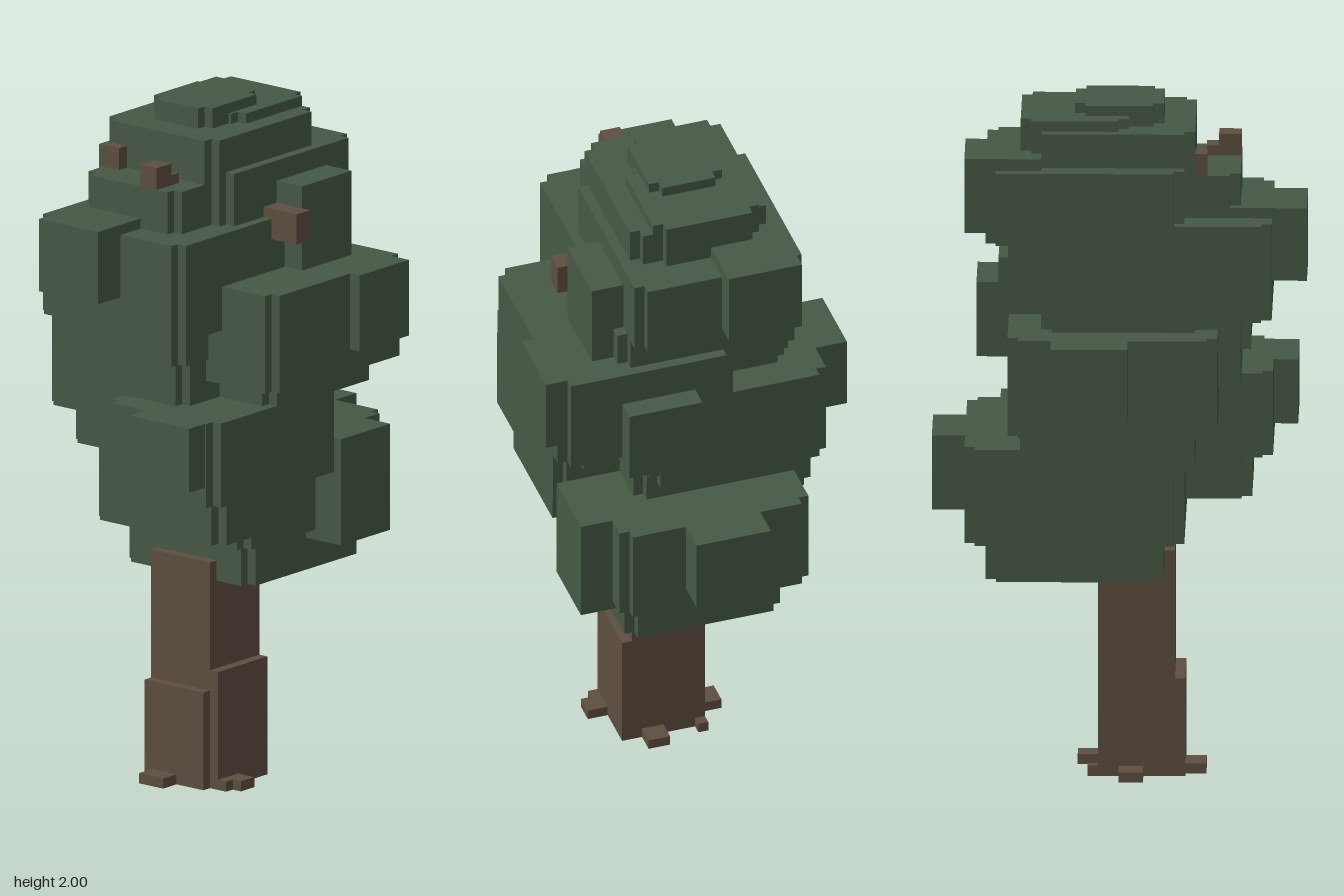
import * as THREE from 'three';

const NOTCH = 0.03;

export function createModel() {
  const leaf = new THREE.MeshStandardMaterial({ color: 0x465945 });
  leaf.name = 'leafGreen';
  const bark = new THREE.MeshStandardMaterial({ color: 0x5e4e41 });
  bark.name = 'barkBrown';

  const tree = new THREE.Group();
  tree.name = 'blockTree';

  // Plain block from its limits: x, y, z
  function block(name, material, [x0, x1, y0, y1, z0, z1], parent) {
    const mesh = new THREE.Mesh(new THREE.BoxGeometry(x1 - x0, y1 - y0, z1 - z0), material);
    mesh.position.set((x0 + x1) / 2, (y0 + y1) / 2, (z0 + z1) / 2);
    mesh.name = name;
    parent.add(mesh);
  }

  // Foliage slab whose upright corners are cut in one small step
  function notchedSlab(name, [x0, x1, y0, y1, z0, z1], parent) {
    const w = (x1 - x0) / 2, d = (z1 - z0) / 2, n = NOTCH;
    const points = [
      [w, d - n], [w - n, d - n], [w - n, d], [n - w, d], [n - w, d - n], [-w, d - n],
      [-w, n - d], [n - w, n - d], [n - w, -d], [w - n, -d], [w - n, n - d], [w, n - d],
    ].map(([x, y]) => new THREE.Vector2(x, y));
    const geometry = new THREE.ExtrudeGeometry(new THREE.Shape(points), { depth: y1 - y0, bevelEnabled: false });
    geometry.rotateX(-Math.PI / 2);
    const mesh = new THREE.Mesh(geometry, leaf);
    mesh.position.set((x0 + x1) / 2, y0, (z0 + z1) / 2);
    mesh.name = name;
    parent.add(mesh);
  }

  function group(name) {
    const g = new THREE.Group();
    g.name = name;
    tree.add(g);
    return g;
  }

  // Trunk with thicker lower sides
  const trunk = group('trunk');
  block('trunkCore', bark, [-0.16, 0.06, 0, 0.67, -0.09, 0.13], trunk);
  block('trunkFrontStep', bark, [-0.16, 0.06, 0, 0.35, 0.13, 0.16], trunk);
  block('trunkSideStep', bark, [-0.19, -0.16, 0, 0.29, -0.09, 0.13], trunk);

  // Roots
  const roots = group('roots');
  [
    [-0.16, -0.07, 0, 0.03, 0.16, 0.19],
    [-0.13, -0.07, 0, 0.03, 0.19, 0.22],
    [0.06, 0.12, 0, 0.03, 0.035, 0.1],
    [-0.25, -0.19, 0, 0.03, -0.06, 0.03],
    [-0.07, 0, 0, 0.03, -0.16, -0.09],
    [0.06, 0.09, 0, 0.03, -0.09, -0.06],
  ].forEach((b) => block('root', bark, b, roots));

  // Main foliage masses, from bottom to top
  const foliage = group('foliage');
  [
    [-0.13, 0.38, 0.61, 0.75, -0.22, 0.25],
    [-0.19, 0.44, 0.735, 1.02, -0.285, 0.285],
    [-0.38, 0.03, 0.8, 0.93, 0, 0.35],
    [-0.44, 0.125, 0.93, 1.18, -0.03, 0.38],
    [-0.22, 0.28, 0.96, 1.12, -0.345, 0.19],
    [-0.285, 0.315, 1.08, 1.37, -0.38, 0.16],
    [-0.35, 0.1, 1.18, 1.4, -0.19, 0.19],
    [-0.19, 0.28, 1.17, 1.26, -0.1, 0.38],
    [-0.25, 0.345, 1.24, 1.53, -0.09, 0.44],
    [-0.38, 0.1, 1.305, 1.42, -0.25, 0.2],
    [-0.25, 0.22, 1.36, 1.5, -0.285, 0],
    [-0.44, 0.125, 1.4, 1.685, -0.285, 0.25],
    [-0.16, 0.315, 1.49, 1.63, -0.285, 0.25],
    [-0.35, 0.2, 1.68, 1.81, -0.19, 0.16],
    [-0.19, 0.38, 1.625, 1.84, -0.285, 0.22],
    [-0.22, 0.25, 1.8, 1.94, -0.22, 0.19],
    [-0.03, 0.28, 1.84, 1.97, -0.19, 0.13],
    [-0.13, 0.125, 1.94, 2, -0.13, 0.09],
  ].forEach((b) => notchedSlab('foliageLayer', b, foliage));

  // Square tufts standing out from the masses
  const tufts = group('tufts');
  [
    [0.3, 0.535, 0.8, 1.02, -0.13, 0.095],
    [0.125, 0.345, 0.705, 1.02, 0.16, 0.38],
    [-0.51, -0.3, 0.99, 1.18, 0.125, 0.345],
    [-0.03, 0.19, 1.15, 1.37, -0.475, -0.25],
    [0.2, 0.41, 1.21, 1.43, 0.035, 0.255],
    [0.095, 0.315, 1.305, 1.53, 0.25, 0.475],
    [-0.54, -0.32, 1.5, 1.715, -0.19, 0.03],
    [0.03, 0.25, 1.5, 1.78, 0.1, 0.315],
    [0.22, 0.44, 1.655, 1.875, -0.255, -0.035],
  ].forEach((b) => block('tuft', leaf, b, tufts));

  // Twig ends
  const twigs = group('twigs');
  [
    [-0.35, -0.285, 1.8, 1.875, 0.03, 0.09],
    [-0.285, -0.25, 1.8, 1.84, 0.03, 0.09],
    [-0.255, -0.22, 1.8, 1.875, -0.19, -0.13],
    [-0.03, 0.03, 1.625, 1.715, 0.2, 0.345],
    [0.285, 0.312, 1.12, 1.18, 0.1, 0.16],
  ].forEach((b) => block('twig', bark, b, twigs));

  return tree;
}
